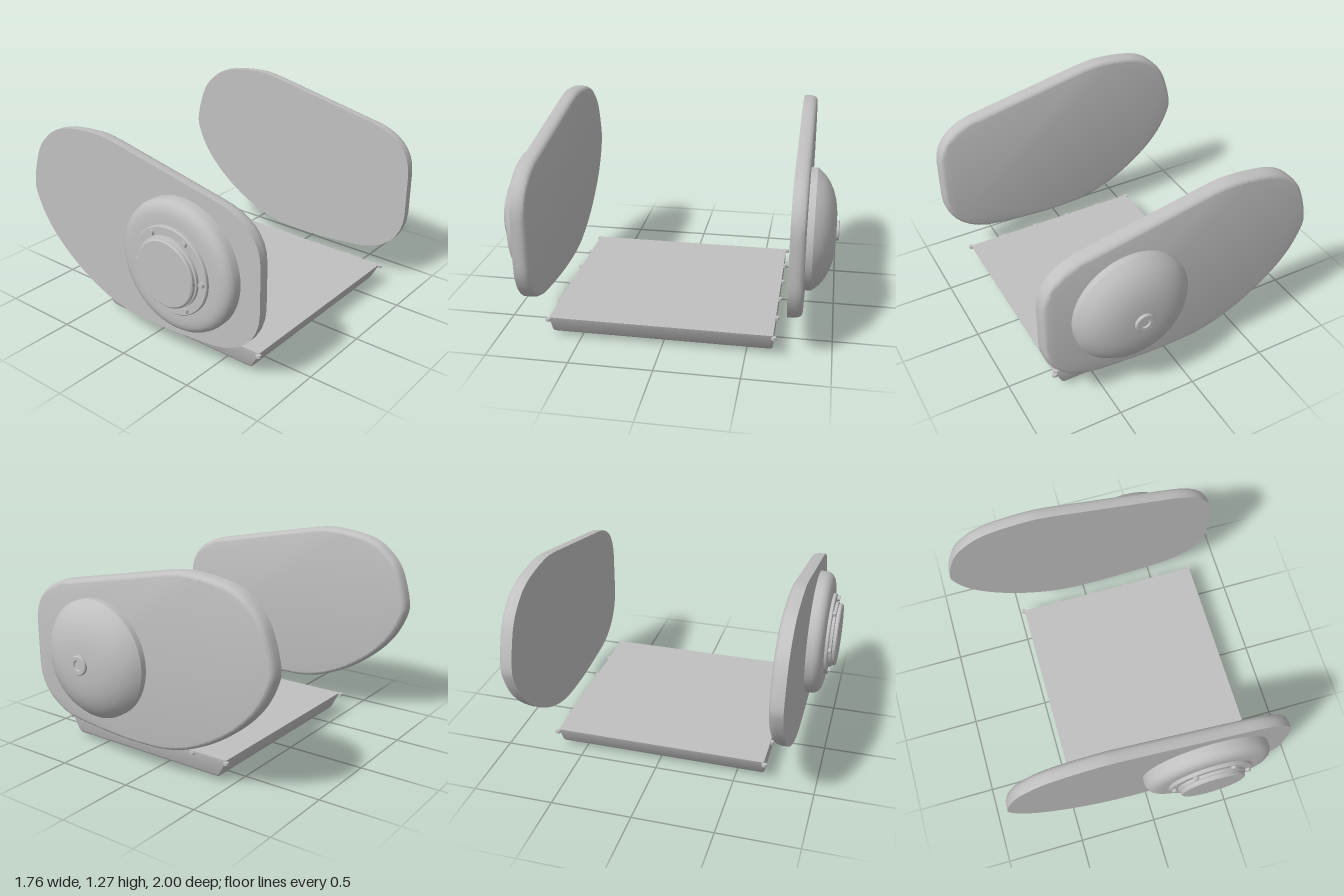
import * as THREE from 'three';
import { toCreasedNormals } from 'three/addons/utils/BufferGeometryUtils.js';

const castMetal = new THREE.MeshStandardMaterial({ color: 0xc0c0c0 });
castMetal.name = 'cast metal';

function addMesh(parent, name, geometry, x = 0, y = 0, z = 0) {
  const mesh = new THREE.Mesh(geometry, castMetal);
  mesh.name = name;
  mesh.position.set(x, y, z);
  parent.add(mesh);
  return mesh;
}

// Closed solid from matching counter-clockwise outlines stacked along z.
function loft(rings, crease = 0.6) {
  const n = rings[0].points.length;
  const position = [];
  const index = [];
  for (const { points, z } of rings) for (const p of points) position.push(p.x, p.y, z);
  for (let k = 0; k < rings.length - 1; k++) {
    for (let i = 0; i < n; i++) {
      const a = k * n + i, b = k * n + (i + 1) % n;
      index.push(a, b, b + n, a, b + n, a + n);
    }
  }
  const top = (rings.length - 1) * n;
  for (const [a, b, c] of THREE.ShapeUtils.triangulateShape(rings[0].points, [])) index.push(a, c, b);
  for (const [a, b, c] of THREE.ShapeUtils.triangulateShape(rings[rings.length - 1].points, []))
    index.push(top + a, top + b, top + c);
  const geometry = new THREE.BufferGeometry();
  geometry.setAttribute('position', new THREE.Float32BufferAttribute(position, 3));
  geometry.setIndex(index);
  return toCreasedNormals(geometry, crease);
}

function inset(points, d) {
  const n = points.length;
  return points.map((p, i) => {
    const t = points[(i + 1) % n].clone().sub(points[(i + n - 1) % n]).normalize();
    return new THREE.Vector2(p.x - t.y * d, p.y + t.x * d);
  });
}

// Turned part whose axis runs along +z (dir 1) or -z (dir -1).
function turned(profile, dir) {
  const points = profile.map(([r, h]) => new THREE.Vector2(r, h));
  const geometry = new THREE.LatheGeometry(points, 64);
  geometry.rotateX(dir * Math.PI / 2);
  return toCreasedNormals(geometry, 0.6);
}

// Egg-shaped side plate, rounded on its -z rim.
function sidePlateGeometry() {
  const v = (x, y) => new THREE.Vector2(x, y);
  const shape = new THREE.Shape();
  shape.moveTo(0.88, 0.53);
  shape.lineTo(0.88, 0.8);
  shape.bezierCurveTo(0.88, 0.98, 0.75, 1.07, 0.59, 1.1);
  shape.lineTo(-0.17, 1.255);
  shape.splineThru([
    v(-0.3, 1.27), v(-0.48, 1.257), v(-0.62, 1.225), v(-0.73, 1.155), v(-0.82, 1.04), v(-0.88, 0.83),
    v(-0.86, 0.71), v(-0.78, 0.565), v(-0.65, 0.43), v(-0.48, 0.31), v(-0.3, 0.225), v(-0.12, 0.18), v(0.1, 0.17),
  ]);
  shape.bezierCurveTo(0.23, 0.17, 0.38, 0.185, 0.53, 0.2);
  shape.bezierCurveTo(0.74, 0.22, 0.88, 0.35, 0.88, 0.53);
  const points = shape.getPoints(8);
  if (points[0].distanceTo(points[points.length - 1]) < 1e-6) points.pop();
  return loft([
    { points: inset(points, 0.026), z: -0.042 },
    { points: inset(points, 0.012), z: -0.034 },
    { points: inset(points, 0.004), z: -0.018 },
    { points, z: 0.005 },
    { points, z: 0.042 },
  ]);
}

function roundedRect(hx, hy, r) {
  const points = [];
  const corners = [[1, 1], [-1, 1], [-1, -1], [1, -1]];
  corners.forEach(([sx, sy], c) => {
    for (let i = 0; i <= 4; i++) {
      const a = (c + i / 4) * Math.PI / 2;
      points.push(new THREE.Vector2(sx * (hx - r) + r * Math.cos(a), sy * (hy - r) + r * Math.sin(a)));
    }
  });
  return points;
}

export function createModel() {
  const model = new THREE.Group();
  model.name = 'engineCovers';
  const plate = sidePlateGeometry();

  // Front cover with stepped round housing
  const front = new THREE.Group();
  front.name = 'frontCover';
  model.add(front);
  addMesh(front, 'frontPlate', plate, 0, 0, 0.792);
  addMesh(front, 'frontHousing', turned([
    [0.4, 0.82], [0.4, 0.875], [0.394, 0.895], [0.38, 0.913], [0.36, 0.925],
    [0.335, 0.932], [0.3, 0.934], [0, 0.934],
  ], 1), 0.35, 0.66);
  addMesh(front, 'frontRing', turned([[0.265, 0.92], [0.265, 0.95], [0.26, 0.955], [0, 0.955]], 1), 0.35, 0.66);
  addMesh(front, 'frontCap', turned([
    [0.212, 0.95], [0.212, 0.972], [0.203, 0.976], [0.203, 0.993], [0.195, 1], [0, 1],
  ], 1), 0.35, 0.66);
  const boltGeometry = new THREE.CylinderGeometry(0.017, 0.017, 0.03, 16);
  for (let i = 0; i < 6; i++) {
    const a = i * Math.PI / 3;
    addMesh(front, 'capBolt', boltGeometry, 0.35 + 0.235 * Math.cos(a), 0.66 + 0.235 * Math.sin(a), 0.957)
      .rotation.x = Math.PI / 2;
  }

  // Back cover with dome and small hub
  const back = new THREE.Group();
  back.name = 'backCover';
  model.add(back);
  addMesh(back, 'backPlate', plate, 0, 0, -0.775);
  addMesh(back, 'backDome', turned([
    [0.365, 0.8], [0.365, 0.856], [0.352, 0.872], [0.327, 0.9], [0.29, 0.928],
    [0.24, 0.953], [0.18, 0.972], [0.11, 0.981], [0, 0.984],
  ], -1), 0.345, 0.66);
  addMesh(back, 'domeHub', turned([
    [0.06, 0.97], [0.06, 0.995], [0.055, 1], [0.032, 1], [0.028, 0.99], [0, 0.99],
  ], -1), 0.345, 0.66);

  // Tapered pan with rounded lower edges
  const pan = new THREE.Group();
  pan.name = 'oilPan';
  model.add(pan);
  const body = loft([
    [0.545, 0.65, 0.03], [0.557, 0.66, 0.034], [0.566, 0.667, 0.046], [0.612, 0.669, 0.135], [0.617, 0.669, 0.152],
  ].map(([hx, hz, z]) => ({ points: roundedRect(hx, hz, 0.012), z })), 0.7);
  body.rotateX(-Math.PI / 2);
  addMesh(pan, 'panBody', body, 0.147, 0, 0.01);

  // Flange bolts along both long edges
  const flangeBolt = new THREE.CylinderGeometry(0.016, 0.016, 0.016, 16);
  for (let i = 0; i < 6; i++) {
    for (const z of [-0.663, 0.683]) addMesh(pan, 'flangeBolt', flangeBolt, -0.474 + i * 0.2475, 0.138, z);
  }

  // Hex drain plug
  addMesh(pan, 'drainPlug', new THREE.CylinderGeometry(0.036, 0.036, 0.04, 6).toNonIndexed(), 0.147, 0.02, 0.01);
  return model;
}
